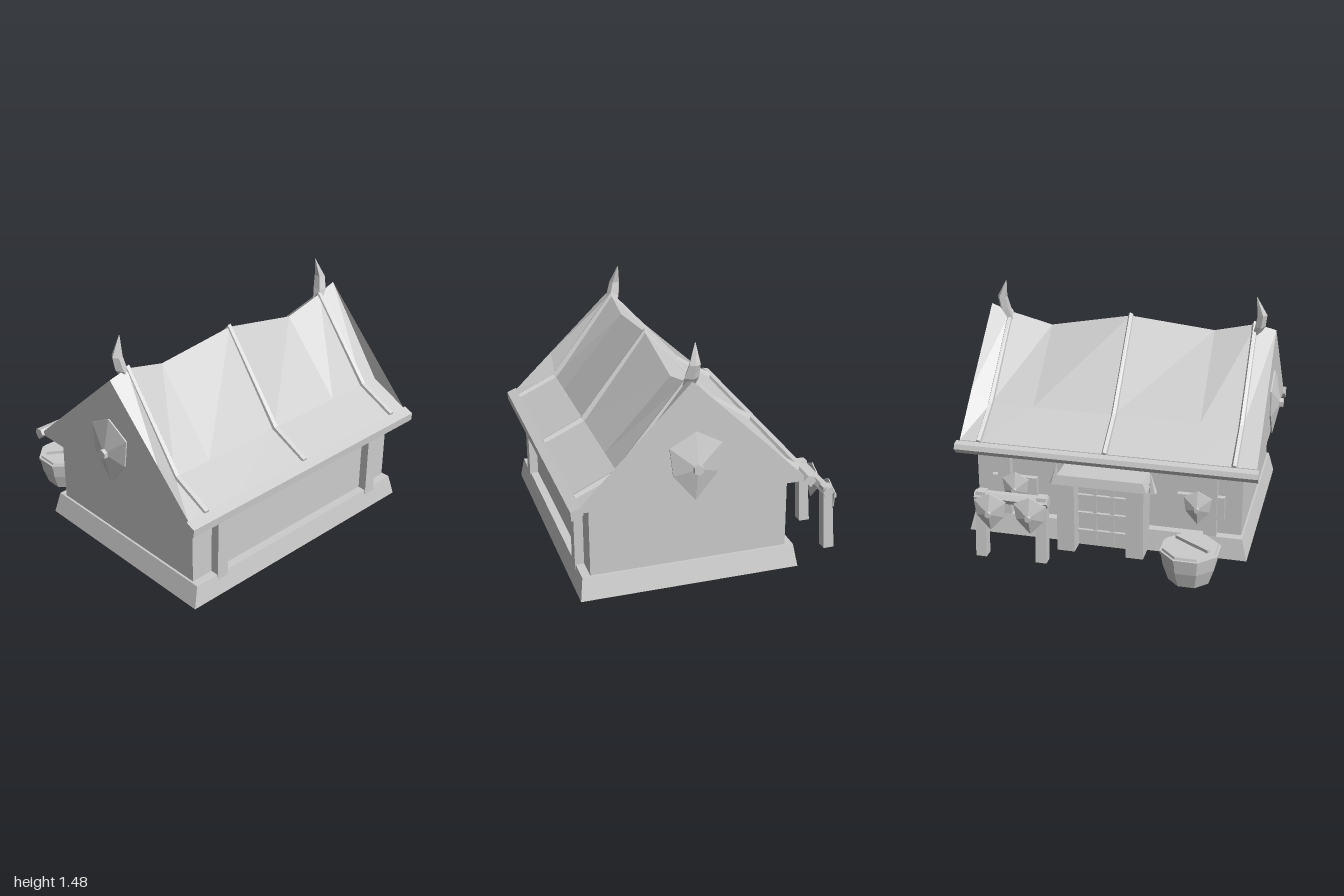
import * as THREE from 'three';

const stone = new THREE.MeshStandardMaterial({ color: 0xcccccc, flatShading: true, side: THREE.DoubleSide });
stone.name = 'pale grey';

// Skin a list of equal-length closed rings of [x, y, z]; optional fan caps
function loft(rings, caps = true) {
  const pos = [];
  const tri = (a, b, c) => pos.push(...a, ...b, ...c);
  const n = rings[0].length;
  for (let i = 0; i < rings.length - 1; i++) {
    for (let j = 0; j < n; j++) {
      const k = (j + 1) % n, a = rings[i], b = rings[i + 1];
      tri(a[j], a[k], b[k]);
      tri(a[j], b[k], b[j]);
    }
  }
  if (caps) {
    const a = rings[0], b = rings[rings.length - 1];
    for (let j = 1; j < n - 1; j++) {
      tri(a[0], a[j + 1], a[j]);
      tri(b[0], b[j], b[j + 1]);
    }
  }
  const g = new THREE.BufferGeometry();
  g.setAttribute('position', new THREE.Float32BufferAttribute(pos, 3));
  g.computeVertexNormals();
  return g;
}

function add(parent, name, geometry, x = 0, y = 0, z = 0) {
  const m = new THREE.Mesh(geometry, stone);
  m.name = name;
  m.position.set(x, y, z);
  parent.add(m);
  return m;
}

// Box given by its limits on each axis
function block(parent, name, x0, x1, y0, y1, z0, z1) {
  return add(parent, name, new THREE.BoxGeometry(x1 - x0, y1 - y0, z1 - z0),
    (x0 + x1) / 2, (y0 + y1) / 2, (z0 + z1) / 2);
}

// Pointed shield facing +z with a central boss
function shield(name, w, h, depth) {
  const g = new THREE.Group();
  g.name = name;
  const outline = [[0, 0.5], [-0.5, 0.3], [-0.43, -0.11], [0, -0.5], [0.43, -0.11], [0.5, 0.3]];
  const ring = (s, z) => outline.map(([x, y]) => [x * w * s, y * h * s, z]);
  add(g, 'shieldFace', loft([ring(1, 0), ring(1, depth * 0.15), ring(0.12, depth * 0.85)]));
  const boss = add(g, 'shieldBoss', new THREE.CylinderGeometry(w * 0.1, w * 0.1, depth * 0.5, 6), 0, 0, depth);
  boss.rotation.x = Math.PI / 2;
  return g;
}

function place(parent, obj, x, y, z, ry) {
  obj.position.set(x, y, z);
  obj.rotation.y = ry;
  parent.add(obj);
}

// Roof stations along x: ridge height, front and back kink heights
const stations = [
  [-0.925, 1.255, 0.87, 0.78], [-0.8, 1.285, 0.745, 0.78], [-0.54, 1.225, 0.745, 0.78],
  [0, 1.28, 0.745, 0.78], [0.52, 1.18, 0.745, 0.78], [0.8, 1.25, 0.745, 0.78], [0.925, 1.295, 0.745, 0.86],
];

function roof(parent) {
  add(parent, 'roof', loft(stations.map(([x, r, f, b]) => [
    [x, r, 0.21], [x, b, -0.24], [x, 0.62, -0.48], [x, 0.59, -0.48],
    [x, 0.59, 0.86], [x, 0.63, 0.86], [x, f, 0.61],
  ])));
  // Rafters following the sagging roof
  for (const [x, r] of [[-0.79, 1.285], [0, 1.28], [0.8, 1.25]]) {
    const path = [[0.86, 0.63], [0.61, 0.745], [0.21, r], [-0.24, 0.78], [-0.49, 0.62]];
    const out = [[0.01, 0.02], [0.018, 0.02], [0, 0.02], [-0.014, 0.018], [-0.01, 0.02]];
    add(parent, 'rafter', loft(path.map(([z, y], i) => {
      const [dz, dy] = out[i];
      return [[x - 0.02, y - 0.01, z], [x - 0.015, y + dy * 0.7, z + dz * 0.7],
        [x + 0.006, y + dy, z + dz], [x + 0.02, y - 0.01, z]];
    })));
  }
  // Eave logs
  const logs = {
    frontEaveLog: [[0.92, 0.61], [0.86, 0.635], [0.845, 0.59], [0.875, 0.55], [0.917, 0.56]],
    backEaveLog: [[-0.475, 0.595], [-0.5, 0.625], [-0.54, 0.615], [-0.55, 0.585], [-0.52, 0.55]],
  };
  for (const [name, pts] of Object.entries(logs)) {
    add(parent, name, loft([-0.94, 0.94].map((x) => pts.map(([z, y]) => [x, y, z]))));
  }
  // Curved horns at the ridge ends
  for (const s of [-1, 1]) {
    const levels = [[0.79, 1.2, 0.2, 0.02, 0.035], [0.825, 1.28, 0.185, 0.035, 0.045],
      [0.838, 1.36, 0.17, 0.032, 0.035], [0.803, 1.475, 0.155, 0.002, 0.002]];
    add(parent, 'ridgeHorn', loft(levels.map(([x, y, z, rx, rz]) =>
      Array.from({ length: 5 }, (_, i) => {
        const a = -s * i * Math.PI * 0.4;
        return [s * (x + rx * Math.cos(a)), y, z + rz * Math.sin(a)];
      }))));
    place(parent, shield('gableShield', 0.31, 0.425, 0.055), s * 0.925, 0.785, 0.19, s * Math.PI / 2);
  }
}

function house(parent) {
  // Flared foundation, open underneath, with a floor on top
  const base = (x, y, z0, z1) => [[-x, y, z0], [-x, y, z1], [x, y, z1], [x, y, z0]];
  add(parent, 'foundation', loft([base(0.885, 0, -0.48, 0.865), base(0.85, 0.135, -0.46, 0.845)], false));
  const floor = add(parent, 'floor', new THREE.PlaneGeometry(1.7, 1.305), 0, 0.135, 0.1925);
  floor.rotation.x = -Math.PI / 2;
  block(parent, 'walls', -0.838, 0.838, 0.137, 0.595, -0.41, 0.795);
  for (const s of [-1, 1]) {
    block(parent, 'frontPost', s * 0.65 - 0.04, s * 0.65 + 0.04, 0.1, 0.6, 0.77, 0.85);
    block(parent, 'backPost', s * 0.65 - 0.04, s * 0.65 + 0.04, 0.1, 0.6, -0.46, -0.38);
    block(parent, 'wallPlank', s * 0.59 - 0.145, s * 0.59 + 0.145, 0.24, 0.39, -0.445, -0.4);
    place(parent, shield('wallShield', 0.17, 0.22, 0.04), s * 0.575, 0.32, -0.463, Math.PI);
  }
}

function door(parent) {
  const g = new THREE.Group();
  g.name = 'doorway';
  parent.add(g);
  for (const s of [-1, 1]) {
    block(g, 'doorPost', s * 0.215 - 0.055, s * 0.215 + 0.055, 0, 0.45, -0.605, -0.42);
    const hook = add(g, 'lintelHorn', new THREE.ConeGeometry(0.025, 0.15, 5), s * 0.3, 0.485, -0.515);
    hook.rotation.z = s * 0.15;
  }
  const lintel = (x, y, z) => [[-x, y, z], [-x, y, -0.42], [x, y, -0.42], [x, y, z]];
  add(g, 'lintel', loft([lintel(0.29, 0.45, -0.615), lintel(0.265, 0.51, -0.605)]));
  block(g, 'doorPanel', -0.16, 0.16, 0, 0.45, -0.5, -0.44);
  for (const x of [-0.055, 0.055]) block(g, 'doorUpright', x - 0.012, x + 0.012, 0.01, 0.45, -0.515, -0.5);
  for (const y of [0.1, 0.22, 0.34]) block(g, 'doorCrossbar', -0.16, 0.16, y - 0.012, y + 0.012, -0.52, -0.5);
}

function barrel(parent) {
  const g = new THREE.Group();
  g.name = 'barrel';
  g.position.set(-0.585, 0, -0.742);
  parent.add(g);
  const tub = (name, r1, r0, y0, y1) => {
    const m = add(g, name, new THREE.CylinderGeometry(r1, r0, y1 - y0, 8), 0, (y0 + y1) / 2, 0);
    m.rotation.y = Math.PI / 8;
  };
  tub('barrelLower', 0.165, 0.13, 0, 0.1);
  tub('barrelUpper', 0.18, 0.165, 0.1, 0.195);
  tub('barrelHoop', 0.186, 0.183, 0.175, 0.195);
  tub('barrelLid', 0.168, 0.172, 0.195, 0.21);
  const bar = add(g, 'lidBar', new THREE.BoxGeometry(0.26, 0.02, 0.022), -0.01, 0.22, 0.01);
  bar.rotation.y = -0.58;
}

function rack(parent) {
  const g = new THREE.Group();
  g.name = 'shieldRack';
  parent.add(g);
  const beam = add(g, 'rackBeam', new THREE.CylinderGeometry(0.036, 0.036, 0.46, 6), 0.51, 0.385, -0.733);
  beam.rotation.z = Math.PI / 2;
  for (const x of [0.32, 0.7]) {
    // Leaning tapered leg
    const sq = (y, z, r) => [[x - r, y, z - r], [x - r, y, z + r], [x + r, y, z + r], [x + r, y, z - r]];
    add(g, 'rackLeg', loft([sq(0, -0.755, 0.034), sq(0.42, -0.73, 0.03)]));
  }
  for (const x of [0.385, 0.635]) {
    const s = shield('rackShield', 0.2, 0.24, 0.045);
    place(g, s, x, 0.305, -0.775, Math.PI);
  }
}

export function createModel() {
  const model = new THREE.Group();
  model.name = 'longhouse';
  house(model);
  roof(model);
  door(model);
  barrel(model);
  rack(model);
  return model;
}
